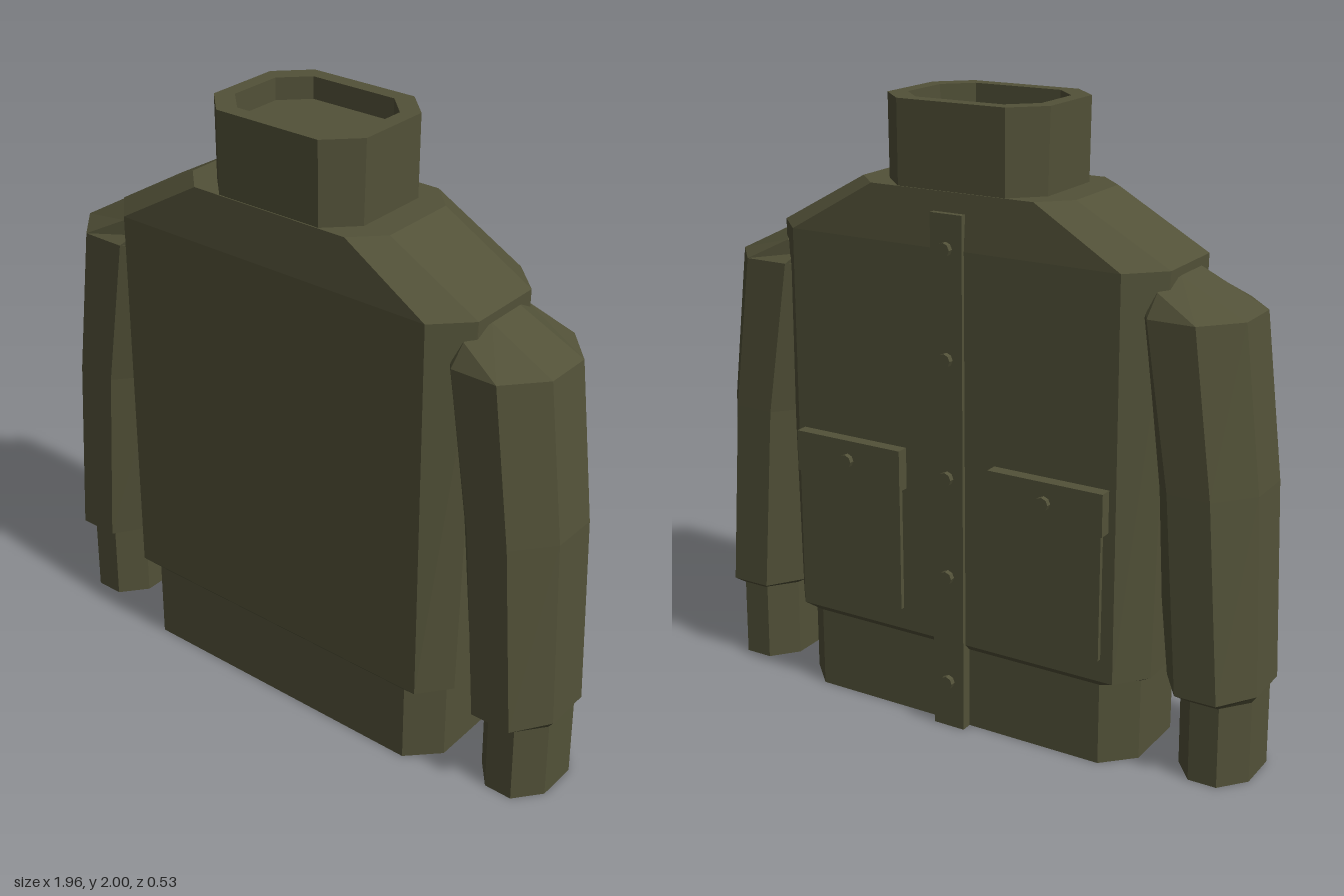
import * as THREE from 'three';

const olive = new THREE.MeshStandardMaterial({ color: 0x525138, flatShading: true });

// Chamfered rectangle section, counterclockwise from above.
// hx, hz: half sizes; cx, cz: chamfer sizes; tilt: rise per unit of x.
function octagon({ x = 0, y, z = 0.027, hx, hz, cx, cz, tilt = 0 }) {
  return [
    [hx, hz - cz], [hx, cz - hz], [hx - cx, -hz], [cx - hx, -hz],
    [-hx, cz - hz], [-hx, hz - cz], [cx - hx, hz], [hx - cx, hz],
  ].map(([dx, dz]) => new THREE.Vector3(x + dx, y + dx * tilt, z + dz));
}

// Faceted skin through the sections, closed at both ends.
function loft(name, sections) {
  const rings = sections.map(octagon);
  const out = [];
  const tri = (...pts) => pts.forEach((p) => out.push(p.x, p.y, p.z));
  const middle = (ring) =>
    ring.reduce((sum, p) => sum.add(p), new THREE.Vector3()).divideScalar(ring.length);
  const first = rings[0];
  const last = rings[rings.length - 1];
  const bottom = middle(first);
  const top = middle(last);
  for (let i = 0; i < 8; i++) {
    const j = (i + 1) % 8;
    for (let r = 0; r < rings.length - 1; r++) {
      const a = rings[r];
      const b = rings[r + 1];
      tri(a[i], a[j], b[j]);
      tri(a[i], b[j], b[i]);
    }
    tri(bottom, first[j], first[i]);
    tri(top, last[i], last[j]);
  }
  const geometry = new THREE.BufferGeometry();
  geometry.setAttribute('position', new THREE.Float32BufferAttribute(out, 3));
  geometry.computeVertexNormals();
  const mesh = new THREE.Mesh(geometry, olive);
  mesh.name = name;
  return mesh;
}

// Box given by its limits on each axis.
function panel(name, x0, x1, y0, y1, z0, z1) {
  const mesh = new THREE.Mesh(new THREE.BoxGeometry(x1 - x0, y1 - y0, z1 - z0), olive);
  mesh.position.set((x0 + x1) / 2, (y0 + y1) / 2, (z0 + z1) / 2);
  mesh.name = name;
  return mesh;
}

function button(name, x, y, z) {
  const mesh = new THREE.Mesh(new THREE.CylinderGeometry(0.022, 0.022, 0.03, 8), olive);
  mesh.rotation.x = Math.PI / 2;
  mesh.position.set(x, y, z + 0.015);
  mesh.name = name;
  return mesh;
}

export function createModel() {
  const jacket = new THREE.Group();
  jacket.name = 'jacket';

  // Hem band and torso with sloping shoulders
  jacket.add(loft('hem', [
    { y: 0, hx: 0.615, hz: 0.21, cx: 0.095, cz: 0.095 },
    { y: 0.28, hx: 0.615, hz: 0.21, cx: 0.095, cz: 0.095 },
  ]));
  jacket.add(loft('torso', [
    { y: 0.272, hx: 0.62, hz: 0.212, cx: 0.095, cz: 0.095 },
    { y: 0.295, hx: 0.655, hz: 0.233, cx: 0.08, cz: 0.1 },
    { y: 1.57, hx: 0.675, hz: 0.235, cx: 0.105, cz: 0.105 },
    { y: 1.74, hx: 0.37, hz: 0.222, cx: 0.09, cz: 0.09 },
  ]));

  // Collar with a recessed opening
  jacket.add(loft('collar', [
    { y: 1.7, hx: 0.275, hz: 0.218, cx: 0.09, cz: 0.09 },
    { y: 2, hx: 0.28, hz: 0.22, cx: 0.095, cz: 0.095 },
    { y: 2, hx: 0.23, hz: 0.17, cx: 0.08, cz: 0.08 },
    { y: 1.93, hx: 0.23, hz: 0.17, cx: 0.08, cz: 0.08 },
  ]));

  for (const side of [-1, 1]) {
    const label = side > 0 ? 'left' : 'right';

    // Sleeve with tilted shoulder cap
    jacket.add(loft(label + 'Sleeve', [
      { x: side * 0.845, y: 0.27, hx: 0.117, hz: 0.165, cx: 0.07, cz: 0.09 },
      { x: side * 0.8325, y: 0.295, hx: 0.1475, hz: 0.2, cx: 0.08, cz: 0.12 },
      { x: side * 0.785, y: 0.93, hx: 0.168, hz: 0.2, cx: 0.1, cz: 0.12 },
      { x: side * 0.71, y: 1.44, hx: 0.18, hz: 0.198, cx: 0.105, cz: 0.118 },
      { x: side * 0.63, y: 1.49, hx: 0.048, hz: 0.16, cx: 0.03, cz: 0.09, tilt: side * 1.15 },
    ]));
    jacket.add(loft(label + 'Cuff', [
      { x: side * 0.848, y: 0, hx: 0.117, hz: 0.155, cx: 0.07, cz: 0.085 },
      { x: side * 0.845, y: 0.28, hx: 0.117, hz: 0.155, cx: 0.07, cz: 0.085 },
    ]));

    // Buttoned pocket
    const c = side * 0.355;
    jacket.add(panel(label + 'Pocket', c - 0.178, c + 0.178, 0.37, 0.8, -0.222, -0.18));
    jacket.add(panel(label + 'PocketFlap', c - 0.195, c + 0.195, 0.785, 0.92, -0.248, -0.18));
    jacket.add(button(label + 'PocketButton', c, 0.855, -0.265));
  }

  // Button placket
  jacket.add(panel('placket', -0.055, 0.055, 0, 1.68, -0.22, -0.16));
  for (const y of [0.16, 0.525, 0.855, 1.235, 1.575]) {
    jacket.add(button('placketButton', 0, y, -0.238));
  }

  return jacket;
}
